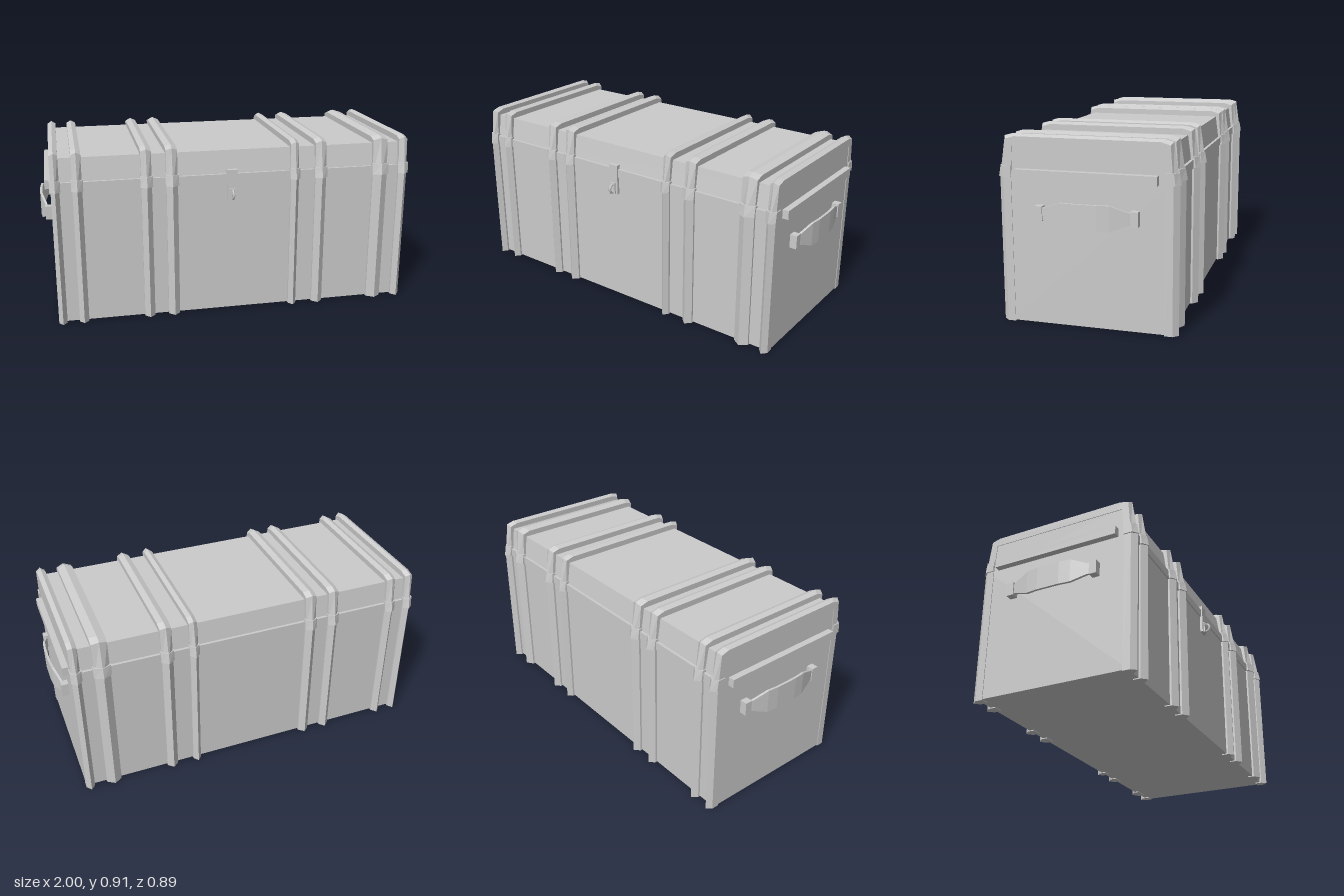
import * as THREE from 'three';

const material = new THREE.MeshStandardMaterial({ color: 0xcccccc });
const ZC = -0.005; // depth centre of the trunk body

function add(parent, name, geometry, x = 0, y = 0, z = 0) {
  const mesh = new THREE.Mesh(geometry, material);
  mesh.name = name;
  mesh.position.set(x, y, z);
  parent.add(mesh);
  return mesh;
}

// Flat-shaded solid through equal-length closed rings of [x, y, z], with end caps
function loft(rings) {
  const pos = [], n = rings[0].length;
  const tri = (a, b, c) => pos.push(...a, ...b, ...c);
  for (let i = 0; i < rings.length - 1; i++) {
    for (let j = 0; j < n; j++) {
      const k = (j + 1) % n, p = rings[i], q = rings[i + 1];
      tri(p[j], p[k], q[k]);
      tri(p[j], q[k], q[j]);
    }
  }
  const first = rings[0], last = rings[rings.length - 1];
  for (let j = 1; j < n - 1; j++) {
    tri(first[0], first[j + 1], first[j]);
    tri(last[0], last[j], last[j + 1]);
  }
  const g = new THREE.BufferGeometry();
  g.setAttribute('position', new THREE.Float32BufferAttribute(pos, 3));
  g.computeVertexNormals();
  return g;
}

// Ridged strip section: two base corners, two shoulders and a central ridge, each given as [z, y]
const ridged = (w, [base, shoulder, ridge]) => [
  [-w, base[1], base[0]], [-w, shoulder[1], shoulder[0]], [0, ridge[1], ridge[0]],
  [w, shoulder[1], shoulder[0]], [w, base[1], base[0]],
];

const RIB_PATH = [
  [[0.37, 0], [0.408, 0], [0.434, 0]],
  [[0.37, 0.71], [0.408, 0.71], [0.434, 0.71]],
  [[0.36, 0.86], [0.393, 0.89], [0.404, 0.903]],
  [[0.34, 0.86], [0.35, 0.903], [0.365, 0.914]],
];
const BRACKET_PATH = [
  [[0.37, 0.71], [0.417, 0.71], [0.44, 0.71]],
  [[0.37, 0.765], [0.41, 0.765], [0.43, 0.765]],
];

// Rib wrapping front, top and back, with a bracket at the lid seam on both faces
function makeRib(x0, x1) {
  const rib = new THREE.Group();
  rib.name = 'rib';
  rib.position.set((x0 + x1) / 2, 0, ZC);
  const w = (x1 - x0) / 2;
  const back = RIB_PATH.map(s => s.map(([z, y]) => [-z, y])).reverse();
  add(rib, 'ribStrip', loft([...RIB_PATH, ...back].map(s => ridged(w, s))));
  const bracket = loft(BRACKET_PATH.map(s => ridged(w + 0.005, s)));
  add(rib, 'frontBracket', bracket);
  add(rib, 'backBracket', bracket).rotation.y = Math.PI;
  return rib;
}

// Arched carrying handle with its two mounts, built for the +x end
function makeHandle() {
  const handle = new THREE.Group();
  handle.name = 'handle';
  // stations along z: [z, half height, outer x]
  const stations = [
    [-0.235, 0.027, 0.962], [-0.2, 0.03, 0.973], [-0.12, 0.061, 0.994], [-0.06, 0.061, 1],
    [0.06, 0.061, 1], [0.12, 0.061, 0.994], [0.2, 0.03, 0.973], [0.235, 0.027, 0.962],
  ];
  const t = 0.012;
  add(handle, 'handleGrip', loft(stations.map(([z, h, x]) => [
    [x - t, -h, z], [x, -h, z], [x, h, z], [x - t, h, z],
  ])));
  for (const z of [-0.23, 0.23]) {
    add(handle, 'handleMount', new THREE.BoxGeometry(0.04, 0.07, 0.038), 0.955, 0, z);
  }
  return handle;
}

export function createModel() {
  const model = new THREE.Group();
  model.name = 'trunk';

  // Body and lid share one tapered profile, extruded along x
  const profile = new THREE.Shape();
  [[-0.398, 0.005], [0.398, 0.005], [0.398, 0.71], [0.375, 0.873], [-0.375, 0.873], [-0.398, 0.71]]
    .forEach(([z, y], i) => (i ? profile.lineTo(z, y) : profile.moveTo(z, y)));
  const bodyGeometry = new THREE.ExtrudeGeometry(profile, { depth: 1.876, bevelEnabled: false });
  bodyGeometry.translate(0, 0, -0.938).rotateY(Math.PI / 2);
  add(model, 'body', bodyGeometry, 0, 0, ZC);

  // Bands along the lid seam, and thicker strips on the ends
  for (const s of [-1, 1]) {
    add(model, s > 0 ? 'frontBand' : 'backBand',
      new THREE.BoxGeometry(1.876, 0.045, 0.03), 0, 0.731, ZC + s * 0.391);
    add(model, s > 0 ? 'leftEndStrip' : 'rightEndStrip',
      new THREE.BoxGeometry(0.04, 0.045, 0.68), s * 0.95, 0.731, ZC);
  }

  // Ribs, [left edge, right edge] in x
  [[-0.941, -0.898], [-0.835, -0.786], [-0.492, -0.438], [-0.364, -0.305],
    [0.294, 0.337], [0.428, 0.487], [0.749, 0.829], [0.895, 0.941]]
    .forEach(([a, b]) => model.add(makeRib(a, b)));

  // Handles on both ends
  for (const s of [-1, 1]) {
    const handle = makeHandle();
    handle.position.set(0, 0.552, -0.01);
    handle.rotation.y = s > 0 ? 0 : Math.PI;
    model.add(handle);
  }

  // Clasp: hinged plate with a rounded staple
  const clasp = new THREE.Group();
  clasp.name = 'clasp';
  clasp.position.set(-0.021, 0, 0);
  add(clasp, 'claspPlate', new THREE.BoxGeometry(0.054, 0.16, 0.04), 0, 0.695, 0.388);
  const staple = add(clasp, 'claspStaple',
    new THREE.TorusGeometry(0.022, 0.007, 6, 16), 0, 0.645, 0.416);
  staple.rotation.y = Math.PI / 2;
  add(clasp, 'claspKeeper', new THREE.BoxGeometry(0.03, 0.06, 0.012), 0, 0.647, 0.41);
  model.add(clasp);

  return model;
}
